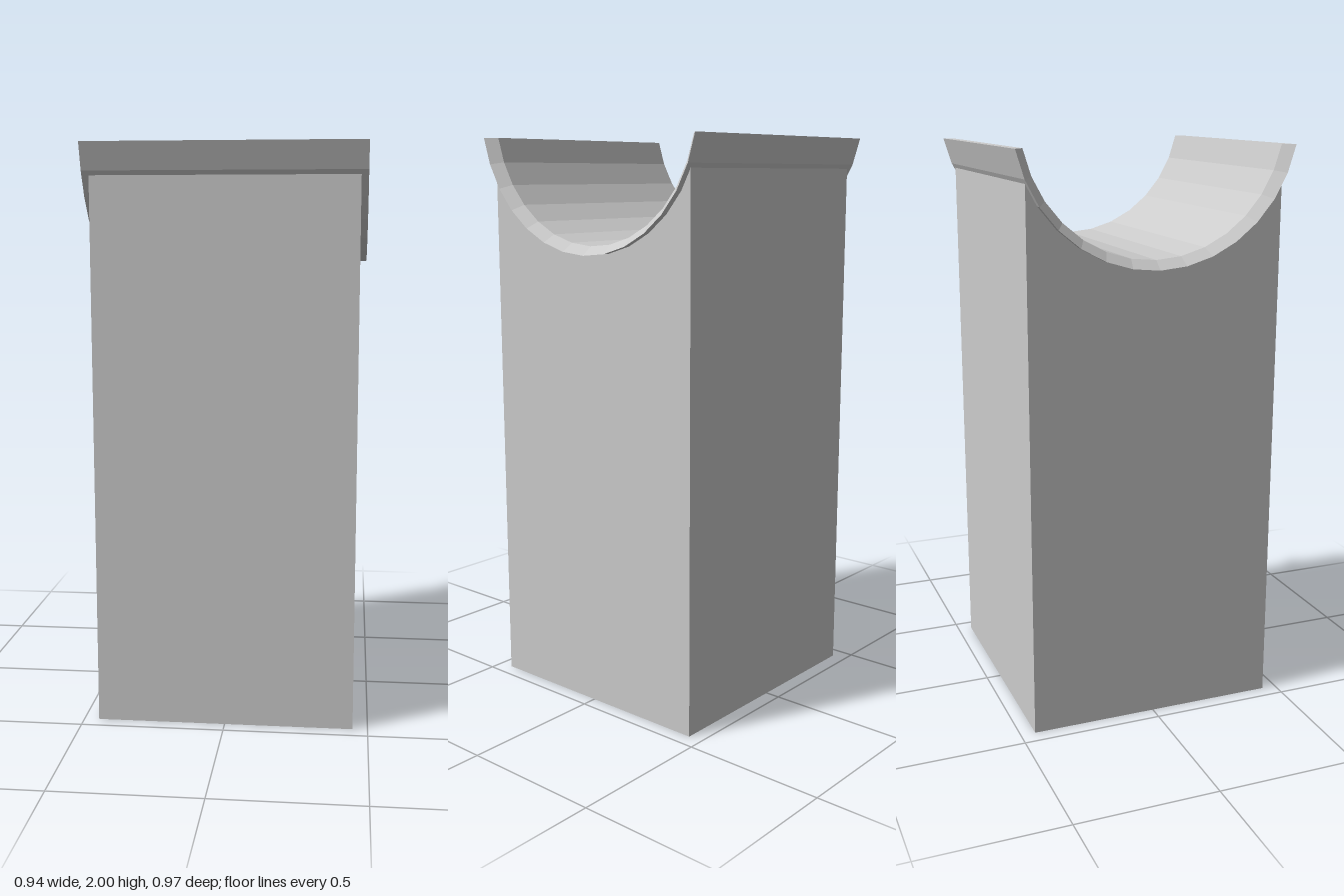
import * as THREE from 'three';

const STEPS = 14;            // facets along the trough's arc
const RIM = 2;               // height of the trough's rim
const OUTER = { r: 0.495, cy: 2.1, x: 0.472 };
const INNER = { r: 0.46, cy: 2.095, x: 0.435 };
const HALF = 0.448;          // half width of the block

// Point i of an arc, from the back rim (i = 0) to the front rim (i = STEPS)
function arcPoint({ r, cy }, i) {
  const end = Math.acos((cy - RIM) / r);
  const a = end * (2 * i / STEPS - 1);
  return { z: r * Math.sin(a), y: cy - r * Math.cos(a) };
}

// Curved trough swept along the arc, with sloping ends and a flat rim
function troughGeometry() {
  const sections = [];
  for (let i = 0; i <= STEPS; i++) {
    const o = arcPoint(OUTER, i), n = arcPoint(INNER, i);
    sections.push([
      [-OUTER.x, o.y, o.z], [OUTER.x, o.y, o.z],
      [INNER.x, n.y, n.z], [-INNER.x, n.y, n.z],
    ]);
  }
  const pos = [];
  const quad = (a, b, c, d) => pos.push(...a, ...b, ...c, ...a, ...c, ...d);
  for (let i = 0; i < STEPS; i++) {
    const s = sections[i], t = sections[i + 1];
    for (let k = 0; k < 4; k++) {
      const m = (k + 1) % 4;
      quad(s[k], s[m], t[m], t[k]);
    }
  }
  quad(...[...sections[0]].reverse());
  quad(...sections[STEPS]);
  const g = new THREE.BufferGeometry();
  g.setAttribute('position', new THREE.Float32BufferAttribute(pos, 3));
  g.computeVertexNormals();
  return g;
}

// Square block whose top is hollowed to carry the trough
function blockGeometry() {
  const inside = [];
  for (let i = 0; i <= STEPS; i++) {
    const p = arcPoint(OUTER, i);
    if (Math.abs(p.z) < HALF) inside.push(p);
  }
  // Height where the facet next to the corner meets the block's side
  const a = arcPoint(OUTER, STEPS - 2), b = arcPoint(OUTER, STEPS - 1);
  const cornerY = a.y + (b.y - a.y) * (HALF - a.z) / (b.z - a.z);
  const shape = new THREE.Shape();
  shape.moveTo(-HALF, 0);
  shape.lineTo(HALF, 0);
  shape.lineTo(HALF, cornerY);
  inside.reverse().forEach((p) => shape.lineTo(p.z, p.y));
  shape.lineTo(-HALF, cornerY);
  shape.closePath();
  const g = new THREE.ExtrudeGeometry(shape, { depth: 2 * HALF, bevelEnabled: false });
  g.translate(0, 0, -HALF);
  g.rotateY(Math.PI / 2);
  return g;
}

export function createModel() {
  const group = new THREE.Group();
  group.name = 'troughOnBlock';
  const material = new THREE.MeshStandardMaterial({ color: 0xcccccc, flatShading: true });
  const add = (name, geometry) => {
    const mesh = new THREE.Mesh(geometry, material);
    mesh.name = name;
    group.add(mesh);
  };
  add('block', blockGeometry());
  add('trough', troughGeometry());
  return group;
}
